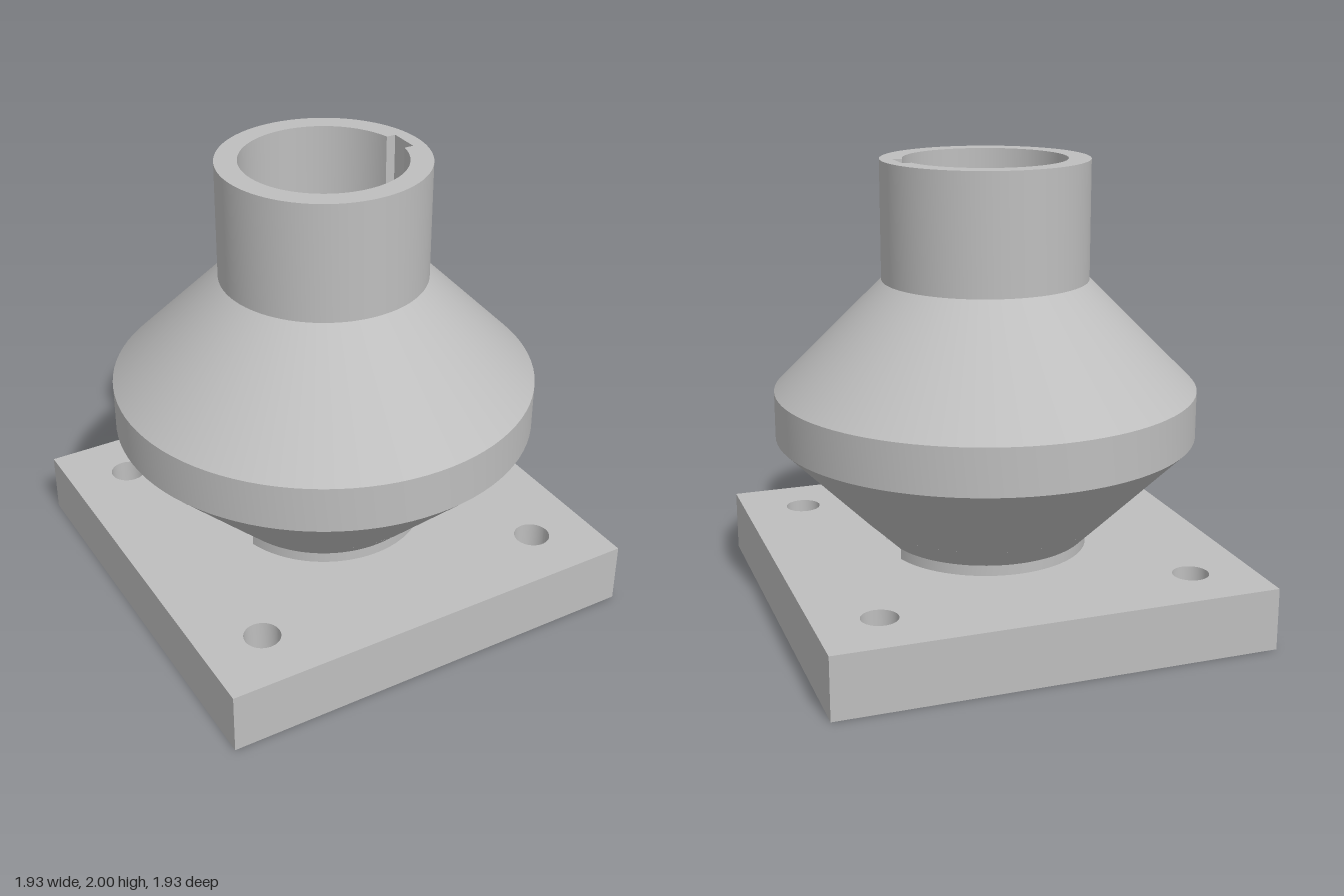
import * as THREE from 'three';
import { toCreasedNormals } from 'three/addons/utils/BufferGeometryUtils.js';

const SEG = 96;
const PLATE_TOP = 0.275, SLOT_TOP = 0.42, TOP = 2;
const COLLAR_R = 0.452, FLARE_R = 0.928, BORE_R = 0.355;
const SLOT_R = 0.551; // outer radius at the slot ceiling
const SLOT_HALF = 0.122, KEY_HALF = 0.07, KEY_X = 0.39;

// Points [x, z] on an arc from angle a to b
function arc(r, a, b, n) {
  return Array.from({ length: n + 1 }, (_, i) => {
    const t = a + ((b - a) * i) / n;
    return [r * Math.cos(t), r * Math.sin(t)];
  });
}

// Wall joining closed loops of [x, z] points stacked at the given heights
function loftWall(loops, heights) {
  const n = loops[0].length, pos = [], index = [];
  loops.forEach((loop, j) => loop.forEach(([x, z]) => pos.push(x, heights[j], z)));
  for (let j = 0; j < loops.length - 1; j++) {
    for (let i = 0; i < n; i++) {
      const a = j * n + i, b = j * n + ((i + 1) % n);
      index.push(a, a + n, b, b, a + n, b + n);
    }
  }
  const g = new THREE.BufferGeometry();
  g.setAttribute('position', new THREE.Float32BufferAttribute(pos, 3));
  g.setIndex(index);
  return toCreasedNormals(g, 0.5);
}

const toShape = (pts) => new THREE.Shape(pts.map(([x, y]) => new THREE.Vector2(x, y)));

export function createModel() {
  const model = new THREE.Group();
  const grey = new THREE.MeshStandardMaterial({ color: 0xbebebe });
  grey.name = 'plain grey';
  const add = (name, geometry) => {
    const mesh = new THREE.Mesh(geometry, grey);
    mesh.name = name;
    model.add(mesh);
    return mesh;
  };

  // Square plate with four bolt holes
  const h = 0.965;
  const plate = toShape([[-h, -h], [h, -h], [h, h], [-h, h]]);
  for (const x of [-0.69, 0.69]) {
    for (const y of [-0.69, 0.69]) {
      plate.holes.push(new THREE.Path().absarc(x, y, 0.079, 0, Math.PI * 2, true));
    }
  }
  const plateGeo = new THREE.ExtrudeGeometry(plate, { depth: PLATE_TOP, bevelEnabled: false, curveSegments: 32 });
  add('basePlate', toCreasedNormals(plateGeo.rotateX(-Math.PI / 2), 0.5));

  // Outer skin above the slot: lower cone, rim, upper cone, collar
  const profile = [[SLOT_R, SLOT_TOP], [FLARE_R, 0.797], [FLARE_R, 1.003], [COLLAR_R, 1.48], [COLLAR_R, TOP]];
  const skin = new THREE.LatheGeometry(profile.map(([r, y]) => new THREE.Vector2(r, y)), SEG);
  add('flaredBody', toCreasedNormals(skin, 0.5));

  // Keyed bore, its wall facing inwards
  const k = Math.asin(KEY_HALF / BORE_R);
  const key = [[KEY_X, KEY_HALF], [KEY_X, -KEY_HALF]];
  const bore = [...arc(BORE_R, Math.PI * 2 - k, k, SEG), ...key];
  add('keyedBore', loftWall([bore, bore], [SLOT_TOP, TOP]));

  // Annular top face
  const rim = new THREE.Shape().absarc(0, 0, COLLAR_R, 0, Math.PI * 2);
  rim.holes.push(new THREE.Path(bore.map(([x, y]) => new THREE.Vector2(x, y))));
  add('collarTop', new THREE.ShapeGeometry(rim, SEG / 2).rotateX(-Math.PI / 2).translate(0, TOP, 0));

  // Two foot segments separated by the cross slot
  const b = Math.asin(SLOT_HALF / BORE_R);
  const footLoop = (r) => {
    const a = Math.asin(SLOT_HALF / r);
    return [...arc(r, a, Math.PI - a, SEG / 2), ...arc(BORE_R, Math.PI - b, b, SEG / 2)];
  };
  const footGeo = loftWall([COLLAR_R, COLLAR_R, SLOT_R].map(footLoop), [PLATE_TOP, 0.322, SLOT_TOP]);
  add('frontFoot', footGeo);
  add('backFoot', footGeo).rotation.y = Math.PI;

  // Slot ceilings on both sides, the left one notched by the keyway
  const a = Math.asin(SLOT_HALF / SLOT_R);
  const outer = arc(SLOT_R, -a, a, 12);
  const ceiling = (inner) =>
    new THREE.ShapeGeometry(toShape([...outer, ...inner])).rotateX(Math.PI / 2).translate(0, SLOT_TOP, 0);
  add('leftSlotCeiling', ceiling([...arc(BORE_R, b, k, 6), ...key, ...arc(BORE_R, -k, -b, 6)]));
  add('rightSlotCeiling', ceiling(arc(BORE_R, b, -b, 12))).rotation.y = Math.PI;

  return model;
}
